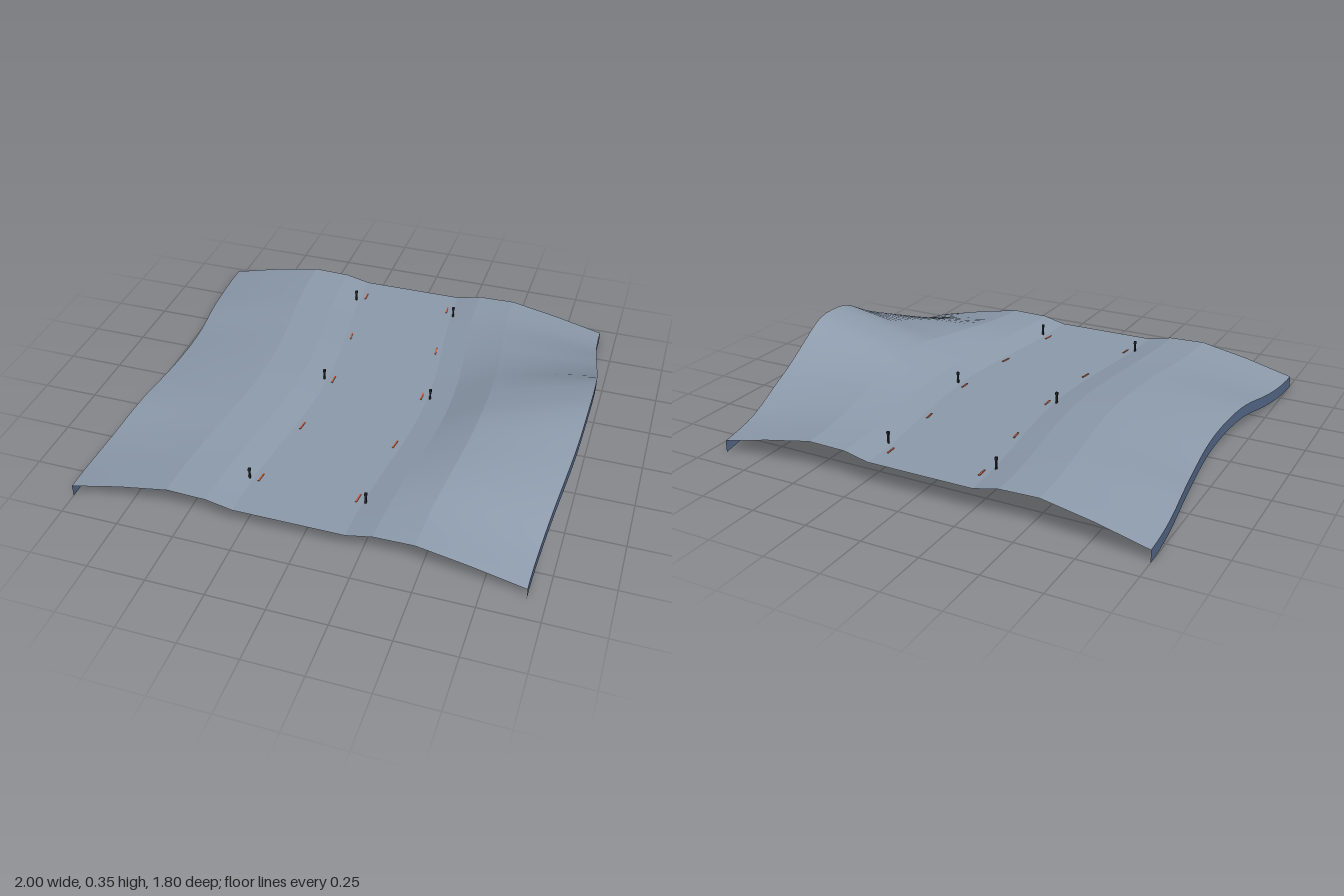
import * as THREE from 'three';

const HALF_DEPTH = 0.9, EDGE = 0.9625, ROAD = 0.2375, SKIRT = 0.053, ROWS = 36;

// Smooth curve through [z, value] points, sampled by z
function profile(points) {
  return (z) => {
    let i = 0;
    while (i < points.length - 2 && z > points[i + 1][0]) i++;
    const slope = (k) => {
      const a = points[Math.max(k - 1, 0)], b = points[Math.min(k + 1, points.length - 1)];
      return (b[1] - a[1]) / (b[0] - a[0]);
    };
    const [z0, y0] = points[i], [z1, y1] = points[i + 1];
    const h = z1 - z0, t = (z - z0) / h, s = 1 - t;
    return y0 * (1 + 2 * t) * s * s + y1 * (3 - 2 * t) * t * t
      + h * t * s * (slope(i) * s - slope(i + 1) * t);
  };
}

// Sideways sway of the whole track, and its slope along z
const sway = (z) => 0.0375 * Math.cos(Math.PI * z / HALF_DEPTH);
const swaySlope = (z) => -0.0375 * Math.PI / HALF_DEPTH * Math.sin(Math.PI * z / HALF_DEPTH);

// Rise of the right-hand hill (0 to 1) and height of the left-hand edge
const hill = profile([[-0.9, 0], [-0.71, 0.12], [-0.51, 0.37], [-0.4, 0.5], [-0.27, 0.7],
  [-0.11, 0.96], [0, 1], [0.11, 0.96], [0.27, 0.7], [0.4, 0.53], [0.51, 0.39], [0.71, 0.13], [0.9, 0]]);
const bank = profile([[-0.9, 0.053], [-0.7, 0.063], [-0.5, 0.08], [-0.3, 0.083], [0, 0.105],
  [0.28, 0.115], [0.4, 0.105], [0.55, 0.08], [0.7, 0.063], [0.9, 0.053]]);

// Columns of the terrain: offset from the track centre and height along z
const leftEdge = [-EDGE, bank];
const leftMid = [-0.74, (z) => 0.108 + 0.55 * (bank(z) - 0.053)];
const leftCrest = [-0.52, (z) => 0.15 + 0.15 * (bank(z) - 0.053)];
const leftShoulder = [-0.35, () => 0.145];
const roadLeft = [-ROAD, () => 0.12];
const roadRight = [ROAD, () => 0.12];
const rightShoulder = [0.35, () => 0.145];
const rightCrest = [0.52, (z) => 0.148 + 0.08 * hill(z)];
const rightMid = [0.74, (z) => 0.105 + 0.185 * hill(z)];
const rightEdge = [EDGE, (z) => 0.053 + 0.297 * hill(z)];
const lowered = ([u, height]) => [u, (z) => height(z) - SKIRT];

// Sheet spanning the given columns from back to front
function strip(name, columns, material) {
  const positions = [], index = [], n = columns.length;
  for (let i = 0; i <= ROWS; i++) {
    const z = -HALF_DEPTH + 2 * HALF_DEPTH * i / ROWS;
    for (const [u, height] of columns) positions.push(u + sway(z), height(z), z);
  }
  for (let i = 0; i < ROWS; i++) {
    for (let j = 0; j < n - 1; j++) {
      const a = i * n + j, b = a + n;
      index.push(a, b, a + 1, a + 1, b, b + 1);
    }
  }
  const geometry = new THREE.BufferGeometry();
  geometry.setAttribute('position', new THREE.Float32BufferAttribute(positions, 3));
  geometry.setIndex(index);
  geometry.computeVertexNormals();
  const mesh = new THREE.Mesh(geometry, material);
  mesh.name = name;
  return mesh;
}

function box(name, size, position, material) {
  const mesh = new THREE.Mesh(new THREE.BoxGeometry(...size), material);
  mesh.name = name;
  mesh.position.set(...position);
  return mesh;
}

function paint(name, color, side = THREE.FrontSide) {
  const material = new THREE.MeshStandardMaterial({ color, side });
  material.name = name;
  return material;
}

export function createModel() {
  const model = new THREE.Group();
  model.name = 'trackSection';
  const ground = paint('ground grey', 0x8d9bac, THREE.DoubleSide);
  const rim = paint('rim blue', 0x566a8a, THREE.DoubleSide);
  const orange = paint('marker orange', 0xc85f40);
  const dark = paint('post dark', 0x22262c);

  // Terrain sheet, creased where strips meet
  model.add(
    strip('leftBank', [leftEdge, leftMid, leftCrest], ground),
    strip('leftCrest', [leftCrest, leftShoulder], ground),
    strip('leftShoulder', [leftShoulder, roadLeft], ground),
    strip('road', [roadLeft, roadRight], ground),
    strip('rightShoulder', [roadRight, rightShoulder], ground),
    strip('rightCrest', [rightShoulder, rightCrest], ground),
    strip('hill', [rightCrest, rightMid, rightEdge], ground),
    strip('leftSkirt', [lowered(leftEdge), leftEdge], rim),
    strip('rightSkirt', [rightEdge, lowered(rightEdge)], rim),
  );

  for (const side of [-1, 1]) {
    // Edge markers painted along the road
    for (const z of [-0.77, -0.41, -0.05, 0.31, 0.68]) {
      const mark = box('edgeMarker', [0.007, 0.003, 0.05], [sway(z) + side * 0.21, 0.1215, z], orange);
      mark.rotation.y = Math.atan(swaySlope(z));
      model.add(mark);
    }
    // Posts with a small cap beside the road
    for (const z of [-0.72, -0.04, 0.7]) {
      const post = new THREE.Group();
      post.name = 'post';
      post.position.set(sway(z) + side * 0.25, 0.12, z);
      post.add(
        box('postShaft', [0.007, 0.044, 0.007], [0, 0.02, 0], dark),
        box('postCap', [0.011, 0.013, 0.01], [0, 0.048, 0], dark),
      );
      model.add(post);
    }
  }
  return model;
}
